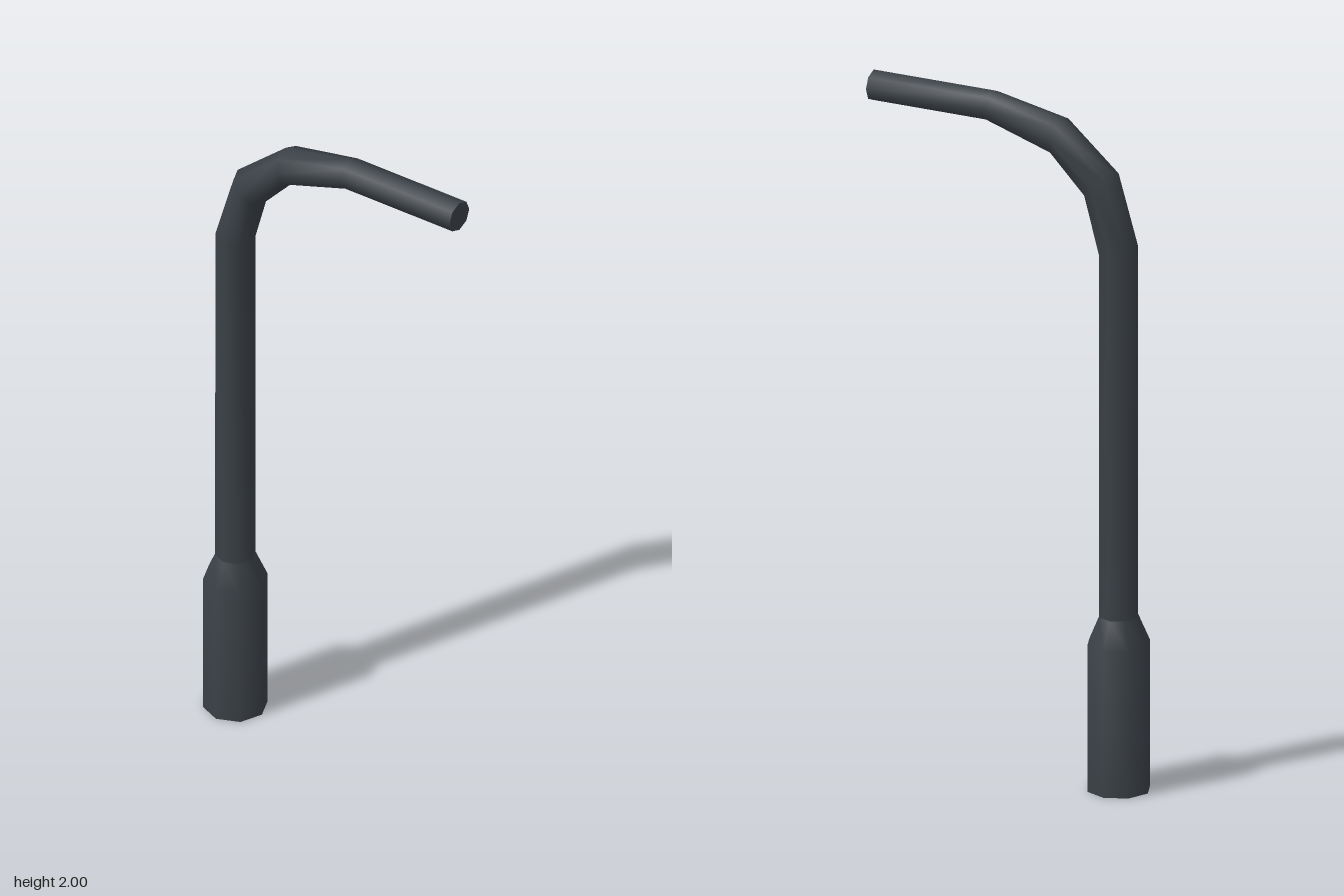
import * as THREE from 'three';
import { toCreasedNormals } from 'three/addons/utils/BufferGeometryUtils.js';

const SIDES = 8;

// Ring across the pipe: inner and outer points of the bend as [y, z], and half-width in x
const ring = (inner, outer, halfWidth) => ({ inner, outer, halfWidth });

// Level ring around the upright axis
const AXIS_Z = -0.341;
const level = (y, r) => ring([y, AXIS_Z + r], [y, AXIS_Z - r], r);

// Skin a row of rings, optionally closing the first or last one
function loft(rings, capStart, capEnd) {
  const positions = [];
  const point = ({ inner, outer, halfWidth }, k) => {
    const a = (k / SIDES) * Math.PI * 2;
    const t = (1 + Math.cos(a)) / 2;
    return [
      Math.sin(a) * halfWidth,
      THREE.MathUtils.lerp(inner[0], outer[0], t),
      THREE.MathUtils.lerp(inner[1], outer[1], t),
    ];
  };
  const centre = ({ inner, outer }) => [0, (inner[0] + outer[0]) / 2, (inner[1] + outer[1]) / 2];
  const tri = (a, b, c) => positions.push(...a, ...b, ...c);
  const first = rings[0];
  const last = rings[rings.length - 1];

  for (let k = 0; k < SIDES; k++) {
    for (let i = 0; i < rings.length - 1; i++) {
      const a = point(rings[i], k);
      const b = point(rings[i + 1], k);
      const c = point(rings[i + 1], k + 1);
      const d = point(rings[i], k + 1);
      tri(a, b, c);
      tri(a, c, d);
    }
    if (capStart) tri(centre(first), point(first, k), point(first, k + 1));
    if (capEnd) tri(centre(last), point(last, k + 1), point(last, k));
  }
  const geometry = new THREE.BufferGeometry();
  geometry.setAttribute('position', new THREE.Float32BufferAttribute(positions, 3));
  return toCreasedNormals(geometry, 0.95);
}

export function createModel() {
  const group = new THREE.Group();
  group.name = 'bentPipe';

  const darkMetal = new THREE.MeshStandardMaterial({ color: 0x3a4046 });
  darkMetal.name = 'dark slate metal';

  const add = (name, geometry) => {
    const mesh = new THREE.Mesh(geometry, darkMetal);
    mesh.name = name;
    group.add(mesh);
  };

  // Thick base sleeve with a tapered shoulder
  const shoulder = level(0.51, 0.057);
  add('baseSleeve', loft([level(0, 0.092), level(0.43, 0.092), shoulder], true, false));

  // Upright shaft, bend and forward arm
  add('bentArm', loft([
    shoulder,
    ring([1.57, -0.284], [1.6, -0.397], 0.057),
    ring([1.735, -0.24], [1.808, -0.333], 0.058),
    ring([1.84, -0.142], [1.951, -0.164], 0.058),
    ring([1.907, 0.065], [1.997, 0.055], 0.047),
    ring([1.91, 0.433], [2.0, 0.433], 0.047),
  ], false, true));

  return group;
}
